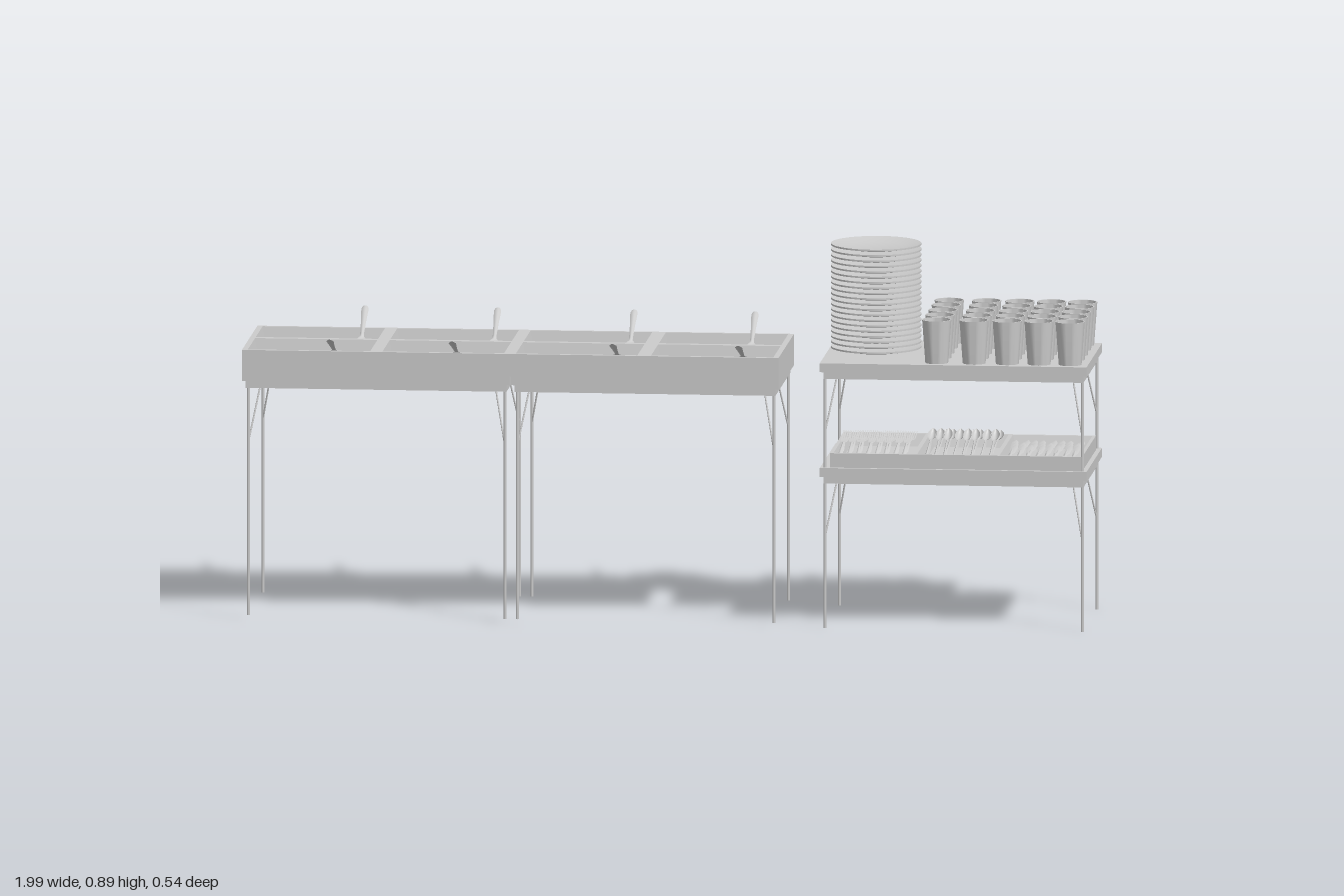
import * as THREE from 'three';
import { toCreasedNormals } from 'three/addons/utils/BufferGeometryUtils.js';

const grey = new THREE.MeshStandardMaterial({ color: 0xcccccc });
const thin = new THREE.MeshStandardMaterial({ color: 0xcccccc, side: THREE.DoubleSide });

function add(parent, name, geometry, x = 0, y = 0, z = 0, material = grey) {
  const mesh = new THREE.Mesh(geometry, material);
  mesh.name = name;
  mesh.position.set(x, y, z);
  parent.add(mesh);
  return mesh;
}

function box(parent, name, x0, x1, y0, y1, z0, z1) {
  return add(parent, name, new THREE.BoxGeometry(x1 - x0, y1 - y0, z1 - z0),
    (x0 + x1) / 2, (y0 + y1) / 2, (z0 + z1) / 2);
}

function rod(parent, name, a, b, radius) {
  const from = new THREE.Vector3(...a), to = new THREE.Vector3(...b);
  const dir = to.clone().sub(from);
  const mesh = add(parent, name, new THREE.CylinderGeometry(radius, radius, dir.length(), 8));
  mesh.position.copy(from).add(to).multiplyScalar(0.5);
  mesh.quaternion.setFromUnitVectors(new THREE.Vector3(0, 1, 0), dir.normalize());
}

// Board with a slightly narrower apron beneath it
function board(parent, name, x0, x1, top) {
  box(parent, name, x0, x1, top - 0.021, top, -0.185, 0.185);
  box(parent, name + 'Apron', x0 + 0.008, x1 - 0.008, top - 0.038, top - 0.021, -0.177, 0.177);
}

// Four thin legs with diagonal braces under each board height
function legs(parent, x0, x1, bottom, boardHeights) {
  for (const x of [x0, x1]) for (const z of [-0.173, 0.173]) {
    rod(parent, 'leg', [x, bottom, z], [x, Math.max(...boardHeights), z], 0.0036);
    const dx = x === x0 ? 0.025 : -0.025;
    for (const h of boardHeights)
      rod(parent, 'brace', [x, h - 0.13, z], [x + dx, h, z - Math.sign(z) * 0.035], 0.002);
  }
}

// Rectangular tray with tapered compartments; cols and rows are [start, end] pairs
function tray(parent, name, x0, x1, z0, z1, y0, y1, cols, rows, floor) {
  const rect = (path, a, b, c, d) => path.moveTo(a, c).lineTo(b, c).lineTo(b, d).lineTo(a, d).closePath();
  const shape = rect(new THREE.Shape(), x0, x1, -z1, -z0);
  for (const [a, b] of cols) for (const [c, d] of rows) {
    shape.holes.push(rect(new THREE.Path(), a, b, -d, -c));
    const pan = new THREE.BoxGeometry(b - a, y1 - floor, d - c);
    const p = pan.attributes.position;
    for (let i = 0; i < p.count; i++) if (p.getY(i) < 0) {
      p.setX(i, p.getX(i) - Math.sign(p.getX(i)) * 0.01);
      p.setZ(i, p.getZ(i) - Math.sign(p.getZ(i)) * 0.01);
    }
    const index = Array.from(pan.index.array);
    index.splice(12, 6); // open top
    pan.setIndex(index);
    pan.computeVertexNormals();
    add(parent, name + 'Compartment', pan, (a + b) / 2, (floor + y1) / 2, (c + d) / 2, thin);
  }
  const frame = new THREE.ExtrudeGeometry(shape, { depth: y1 - y0, bevelEnabled: false });
  add(parent, name + 'Frame', frame.rotateX(-Math.PI / 2), 0, y0, 0);
}

// Curved metal strip along -z; stations are [distance, halfWidth, height, dish]
function strip(stations, offset = 0) {
  const n = 24, g = new THREE.PlaneGeometry(1, 1, 6, n);
  const curves = [1, 2, 3].map(k => s => {
    let i = 1;
    while (i < stations.length - 1 && stations[i][0] < s) i++;
    const a = stations[i - 1], b = stations[i], t = (s - a[0]) / (b[0] - a[0]);
    return a[k] + (b[k] - a[k]) * t;
  });
  const p = g.attributes.position, first = stations[0][0], last = stations.at(-1)[0];
  for (let i = 0; i < p.count; i++) {
    const u = p.getX(i) * 2, s = first + (p.getY(i) + 0.5) * (last - first);
    const [w, h, dish] = curves.map(f => f(s));
    p.setXYZ(i, u * w + offset, h - dish * (1 - u * u), -s);
  }
  g.computeVertexNormals();
  return g;
}

const spoonStrip = (L, w) => [strip([
  [0, w * 0.2, 0, -0.002], [L * 0.05, w * 0.34, 0, -0.004], [L * 0.3, w * 0.24, 0, -0.003],
  [L * 0.62, w * 0.16, 0, -0.003], [L * 0.68, w * 0.4, 0, 0.002], [L * 0.76, w * 0.88, 0, 0.007],
  [L * 0.84, w, 0, 0.01], [L * 0.92, w * 0.82, 0.001, 0.008], [L * 0.97, w * 0.5, 0.002, 0.004],
  [L, w * 0.08, 0.003, 0]])];

function forkStrips(L) {
  const parts = [strip([[0, 0.003, 0, 0], [0.01, 0.005, 0, -0.002], [L * 0.55, 0.002, 0.004, -0.002],
    [L * 0.66, 0.008, 0.001, 0], [L * 0.74, 0.009, 0, 0]])];
  for (let i = 0; i < 4; i++)
    parts.push(strip([[L * 0.74, 0.0014, 0, 0], [L * 0.9, 0.0013, 0.002, 0], [L, 0.0006, 0.006, 0]], -0.0075 + i * 0.005));
  return parts;
}

const knifeStrip = L => [strip([[0, 0.004, 0, -0.002], [L * 0.45, 0.004, 0, -0.003],
  [L * 0.5, 0.007, 0, -0.001], [L * 0.85, 0.008, 0, -0.001], [L, 0.001, 0, 0]])];

function utensil(parent, name, parts, x, y, z, tilt, yaw) {
  const g = new THREE.Group();
  g.name = name;
  g.position.set(x, y, z);
  g.rotation.set(tilt, yaw, 0, 'YXZ');
  parts.forEach(part => add(g, name + 'Part', part, 0, 0, 0, thin));
  parent.add(g);
}

export function createModel() {
  const model = new THREE.Group();
  const group = name => {
    const g = new THREE.Group();
    g.name = name;
    model.add(g);
    return g;
  };

  // Two joined tables carrying the long serving tray
  const buffet = group('servingTables');
  for (const [x0, x1] of [[-1, -0.37], [-0.367, 0.263]]) {
    board(buffet, 'tableTop', x0, x1, 0.587);
    legs(buffet, x0 + 0.014, x1 - 0.012, 0.01, [0.55]);
  }
  const cols = [[-0.987, -0.699], [-0.67, -0.384], [-0.356, -0.07], [-0.038, 0.25]];
  tray(buffet, 'servingTray', -1, 0.263, -0.185, 0.185, 0.587, 0.64, cols, [[-0.177, -0.013], [0.004, 0.175]], 0.592);

  // Serving spoons leaning over both long edges
  const spoon = spoonStrip(0.262, 0.026);
  for (const x of [-0.755, -0.443, -0.122, 0.163])
    utensil(buffet, 'servingSpoon', spoon, x, 0.676, -0.275, -0.29, Math.PI + 0.045);
  for (const x of [-0.786, -0.498, -0.12, 0.176])
    utensil(buffet, 'servingSpoon', spoon, x, 0.678, 0.265, -0.29, 0.03);

  // Two-level side table
  const side = group('sideTable');
  board(side, 'upperShelf', 0.36, 0.988, 0.629);
  board(side, 'lowerShelf', 0.36, 0.988, 0.381);
  legs(side, 0.371, 0.977, 0, [0.592, 0.344]);

  // Plate stack
  const plate = toCreasedNormals(new THREE.LatheGeometry([[0, 0], [0.062, 0], [0.106, 0.008], [0.106, 0.012],
    [0.066, 0.004], [0, 0.004]].map(p => new THREE.Vector2(...p)), 40), 0.6);
  const plates = group('plateStack');
  for (let i = 0; i < 20; i++) add(plates, 'plate', plate, 0.473, 0.63 + i * 0.0128, -0.016);

  // Five by five open cups
  const cup = toCreasedNormals(new THREE.LatheGeometry([[0, 0], [0.027, 0], [0.0345, 0.102], [0.032, 0.102],
    [0.025, 0.006], [0, 0.006]].map(p => new THREE.Vector2(...p)), 28), 0.6);
  const cups = group('cups');
  for (const x of [0.632, 0.72, 0.798, 0.873, 0.946])
    for (const z of [-0.148, -0.076, 0.002, 0.076, 0.15]) add(cups, 'cup', cup, x, 0.63, z);

  // Cutlery tray with forks, spoons and knives
  const cutlery = group('cutlery');
  tray(cutlery, 'cutleryTray', 0.383, 0.977, -0.152, 0.176, 0.381, 0.415,
    [[0.391, 0.578], [0.588, 0.772], [0.782, 0.969]], [[-0.144, 0.168]], 0.385);
  const kinds = [['fork', forkStrips(0.17), 0.401, 0.2], ['spoon', spoonStrip(0.17, 0.011), 0.605, 0.28],
    ['knife', knifeStrip(0.18), 0.798, 0.06]];
  for (const [name, parts, x, tilt] of kinds)
    for (let layer = 0; layer < 3; layer++) for (let i = 0; i < 8; i++)
      utensil(cutlery, name, parts, x + i * 0.0215, 0.399 + layer * 0.002,
        0.15 - layer * 0.036, tilt * (1 - layer * 0.2), 0.02 * ((i + layer) % 3 - 1));

  return model;
}
